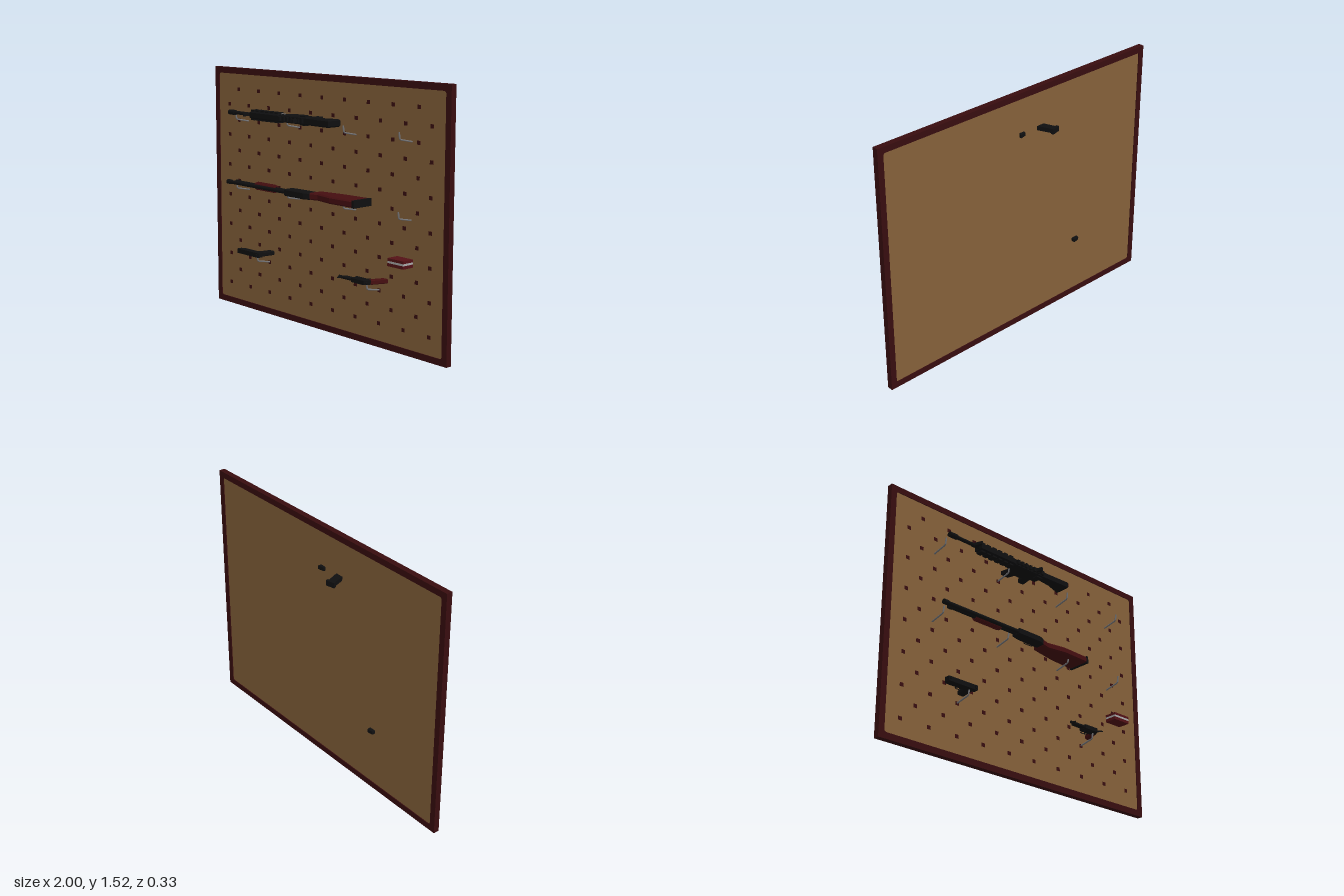
import * as THREE from 'three';

const mat = (name, color) => {
  const m = new THREE.MeshStandardMaterial({ color });
  m.name = name;
  return m;
};

export function createModel() {
  const root = new THREE.Group();
  root.name = 'wallDisplay';
  const frameWood = mat('dark frame wood', 0x380d0f);
  const panelTan = mat('tan panel', 0x85613a);
  const black = mat('black metal', 0x0f0f10);
  const redWood = mat('red wood', 0x450e10);
  const steel = mat('hook steel', 0x77777a);
  const boxRed = mat('box red', 0x541216);
  const stripeGrey = mat('stripe grey', 0xa8a8a8);

  const group = (name, y = 0) => {
    const g = new THREE.Group();
    g.name = name;
    g.position.y = y;
    root.add(g);
    return g;
  };
  const add = (parent, name, geo, material) => {
    const m = new THREE.Mesh(geo, material);
    m.name = name;
    parent.add(m);
    return m;
  };
  // box given by its x, y and z ranges
  const box = (p, name, [x0, x1], [y0, y1], [z0, z1], m) =>
    add(p, name, new THREE.BoxGeometry(x1 - x0, y1 - y0, z1 - z0), m)
      .position.set((x0 + x1) / 2, (y0 + y1) / 2, (z0 + z1) / 2);
  // round bar along x
  const rod = (p, name, x0, x1, z, r, m, sides = 12) => {
    const g = new THREE.CylinderGeometry(r, r, x1 - x0, sides).rotateZ(Math.PI / 2);
    add(p, name, g, m).position.set((x0 + x1) / 2, 0, z);
  };
  // flat outline of [x, z] points, with thickness centred on y
  const plate = (p, name, pts, t, m, bevel = 0) => {
    const s = new THREE.Shape(pts.map(([x, z]) => new THREE.Vector2(x, -z)));
    const g = new THREE.ExtrudeGeometry(s, {
      depth: t - 2 * bevel, bevelEnabled: bevel > 0, bevelSize: bevel,
      bevelThickness: bevel, bevelOffset: -bevel, bevelSegments: 1,
    });
    g.translate(0, 0, -t / 2 + bevel).rotateX(-Math.PI / 2);
    add(p, name, g, m);
  };
  // open loop below the frame, around the trigger
  const triggerGuard = (p, x0, x1, z0, z1) => {
    const pts = [[x0, z1], [x0 + 0.004, z0], [x1 - 0.004, z0], [x1, z1]];
    const c = new THREE.CatmullRomCurve3(pts.map(([x, z]) => new THREE.Vector3(x, 0, z)), false, 'catmullrom', 0.2);
    add(p, 'triggerGuard', new THREE.TubeGeometry(c, 16, 0.003, 6), black);
    const mid = (x0 + x1) / 2;
    plate(p, 'trigger', [[mid, z1], [mid + 0.008, z1], [mid + 0.002, z0 + 0.008]], 0.006, black);
  };

  // board: frame with a rounded opening, recessed panel
  const board = group('board');
  const outer = new THREE.Shape([[-1, 0], [1, 0], [1, 1.52], [-1, 1.52]].map(([x, y]) => new THREE.Vector2(x, y)));
  const a = 0.963, b0 = 0.037, b1 = 1.483, r = 0.015;
  const hole = new THREE.Path();
  hole.absarc(-a + r, b0 + r, r, Math.PI, 1.5 * Math.PI);
  hole.absarc(a - r, b0 + r, r, -Math.PI / 2, 0);
  hole.absarc(a - r, b1 - r, r, 0, Math.PI / 2);
  hole.absarc(-a + r, b1 - r, r, Math.PI / 2, Math.PI);
  hole.closePath();
  outer.holes.push(hole);
  const frameGeo = new THREE.ExtrudeGeometry(outer, { depth: 0.036, bevelEnabled: false, curveSegments: 4 });
  add(board, 'frame', frameGeo.translate(0, 0, -0.07), frameWood);
  box(board, 'panel', [-0.975, 0.975], [0.025, 1.495], [-0.065, -0.039], panelTan);

  // staggered peg holes as thin squares
  for (let row = 0; row < 14; row++) {
    const n = row % 2 ? 10 : 9;
    for (let i = 0; i < n; i++) {
      const x = (i - (n - 1) / 2) * 0.192, y = 1.387 - row * 0.096;
      box(board, 'pegHole', [x - 0.012, x + 0.012], [y - 0.011, y + 0.011], [-0.039, -0.0375], frameWood);
    }
  }

  // bent wire hooks
  const hooks = group('hooks');
  const hookPath = new THREE.CurvePath();
  const bend = [[0, -0.04], [0.018, 0.05], [0.024, 0.056], [0.06, 0.062]].map(([y, z]) => new THREE.Vector3(0, y, z));
  for (let i = 0; i < 3; i++) hookPath.add(new THREE.LineCurve3(bend[i], bend[i + 1]));
  const hookGeo = new THREE.TubeGeometry(hookPath, 24, 0.005, 6);
  const hookAt = (x, y) => add(hooks, 'hook', hookGeo, steel).position.set(x, y, 0);
  for (const y of [1.196, 0.766]) for (const x of [-0.675, -0.195, 0.287, 0.72]) hookAt(x, y);
  for (const x of [-0.481, 0.481]) hookAt(x, 0.333);

  // rifle, lying on its side with its top towards the front
  const rifle = group('rifle', 1.262);
  rod(rifle, 'barrel', -0.66, -0.44, 0.1, 0.011, black);
  rod(rifle, 'muzzle', -0.685, -0.63, 0.1, 0.016, black);
  plate(rifle, 'frontSight', [[-0.515, 0.09], [-0.475, 0.09], [-0.483, 0.155], [-0.49, 0.155]], 0.018, black);
  plate(rifle, 'handguard', [[-0.465, 0.065], [-0.2, 0.06], [-0.2, 0.125], [-0.465, 0.125]], 0.052, black, 0.012);
  for (let i = 0; i < 6; i++) {
    const x = -0.445 + i * 0.044;
    box(rifle, 'handguardRib', [x - 0.014, x + 0.014], [-0.031, 0.031], [0.073, 0.117], black);
  }
  plate(rifle, 'receiver', [[-0.2, 0.06], [-0.17, 0.02], [-0.07, 0.02], [-0.05, 0.035], [0.03, 0.04],
    [0.04, 0.12], [-0.2, 0.12]], 0.044, black, 0.006);
  box(rifle, 'bolt', [-0.02, 0.025], [-0.028, 0.028], [0.08, 0.112], black);
  box(rifle, 'ejectionPort', [-0.21, -0.18], [0.02, 0.026], [0.08, 0.09], steel);
  for (let i = 0; i < 7; i++) {
    const x = -0.19 + i * 0.032;
    box(rifle, 'railTooth', [x, x + 0.018], [-0.013, 0.013], [0.115, 0.135], black);
  }
  plate(rifle, 'rearSight', [[-0.045, 0.12], [-0.01, 0.12], [-0.02, 0.165], [-0.032, 0.165]], 0.02, black);
  plate(rifle, 'magazine', [[-0.155, 0.04], [-0.172, -0.06], [-0.2, -0.138], [-0.158, -0.15],
    [-0.125, -0.07], [-0.095, 0.04]], 0.026, black);
  plate(rifle, 'magazineFoot', [[-0.21, -0.152], [-0.205, -0.135], [-0.15, -0.148], [-0.156, -0.165]], 0.032, black);
  plate(rifle, 'grip', [[-0.06, 0.04], [-0.02, -0.076], [0.018, -0.083], [0, 0.04]], 0.028, black, 0.004);
  triggerGuard(rifle, -0.095, -0.045, -0.005, 0.03);
  plate(rifle, 'stock', [[0.03, 0.07], [0.12, 0.06], [0.22, 0.03], [0.23, 0.03], [0.23, 0.125],
    [0.03, 0.118]], 0.044, black, 0.007);

  // shotgun
  const shotgun = group('shotgun', 0.828);
  rod(shotgun, 'barrel', -0.71, -0.14, 0.1, 0.012, black);
  rod(shotgun, 'muzzle', -0.71, -0.68, 0.1, 0.015, black);
  rod(shotgun, 'magazineTube', -0.65, -0.14, 0.076, 0.013, black);
  rod(shotgun, 'tubeCap', -0.655, -0.63, 0.076, 0.016, black);
  rod(shotgun, 'pump', -0.465, -0.275, 0.073, 0.021, redWood, 10);
  for (let i = 0; i < 7; i++) rod(shotgun, 'pumpRib', -0.455 + i * 0.025, -0.44 + i * 0.025, 0.073, 0.025, redWood, 10);
  plate(shotgun, 'receiver', [[-0.16, 0.055], [-0.12, 0.045], [0.045, 0.04], [0.045, 0.1], [0.01, 0.115],
    [-0.16, 0.115]], 0.042, black, 0.006);
  triggerGuard(shotgun, -0.035, 0.035, 0.01, 0.045);
  plate(shotgun, 'stock', [[0.04, 0.04], [0.055, 0.005], [0.2, -0.022], [0.28, -0.03], [0.402, -0.038],
    [0.402, 0.1], [0.22, 0.106], [0.1, 0.085], [0.04, 0.1]], 0.042, redWood, 0.008);
  box(shotgun, 'buttPlate', [0.4, 0.415], [-0.022, 0.022], [-0.04, 0.102], black);

  // pistol
  const pistol = group('pistol', 0.396);
  box(pistol, 'slide', [-0.645, -0.44], [-0.014, 0.014], [0.052, 0.085], black);
  box(pistol, 'frame', [-0.63, -0.45], [-0.012, 0.012], [0.034, 0.053], black);
  box(pistol, 'frontSight', [-0.638, -0.628], [-0.003, 0.003], [0.085, 0.092], black);
  box(pistol, 'rearSight', [-0.46, -0.45], [-0.008, 0.008], [0.085, 0.092], black);
  plate(pistol, 'grip', [[-0.497, 0.04], [-0.472, -0.082], [-0.436, -0.088], [-0.43, -0.076],
    [-0.448, 0.04]], 0.026, black, 0.004);
  triggerGuard(pistol, -0.535, -0.487, 0, 0.036);

  // revolver
  const revolver = group('revolver', 0.396);
  rod(revolver, 'barrel', 0.28, 0.42, 0.08, 0.009, black);
  box(revolver, 'underBarrel', [0.31, 0.41], [-0.007, 0.007], [0.056, 0.076], black);
  plate(revolver, 'frontSight', [[0.285, 0.085], [0.31, 0.085], [0.292, 0.108]], 0.006, black);
  rod(revolver, 'cylinder', 0.405, 0.452, 0.066, 0.022, black, 8);
  plate(revolver, 'frame', [[0.39, 0.04], [0.48, 0.035], [0.512, 0.05], [0.49, 0.093], [0.39, 0.093]], 0.024, black);
  plate(revolver, 'hammer', [[0.48, 0.075], [0.498, 0.07], [0.525, 0.102]], 0.008, black);
  triggerGuard(revolver, 0.435, 0.487, 0, 0.04);
  plate(revolver, 'grip', [[0.484, 0.052], [0.492, 0.02], [0.515, -0.035], [0.55, -0.04], [0.535, 0],
    [0.512, 0.056]], 0.027, redWood, 0.004);

  // small carton with a band round its middle
  const carton = group('carton');
  box(carton, 'cartonBase', [0.66, 0.78], [0.52, 0.538], [0.004, 0.08], boxRed);
  box(carton, 'cartonBand', [0.66, 0.78], [0.538, 0.55], [0.004, 0.08], stripeGrey);
  box(carton, 'cartonLid', [0.66, 0.78], [0.55, 0.565], [0.004, 0.08], boxRed);

  return root;
}
